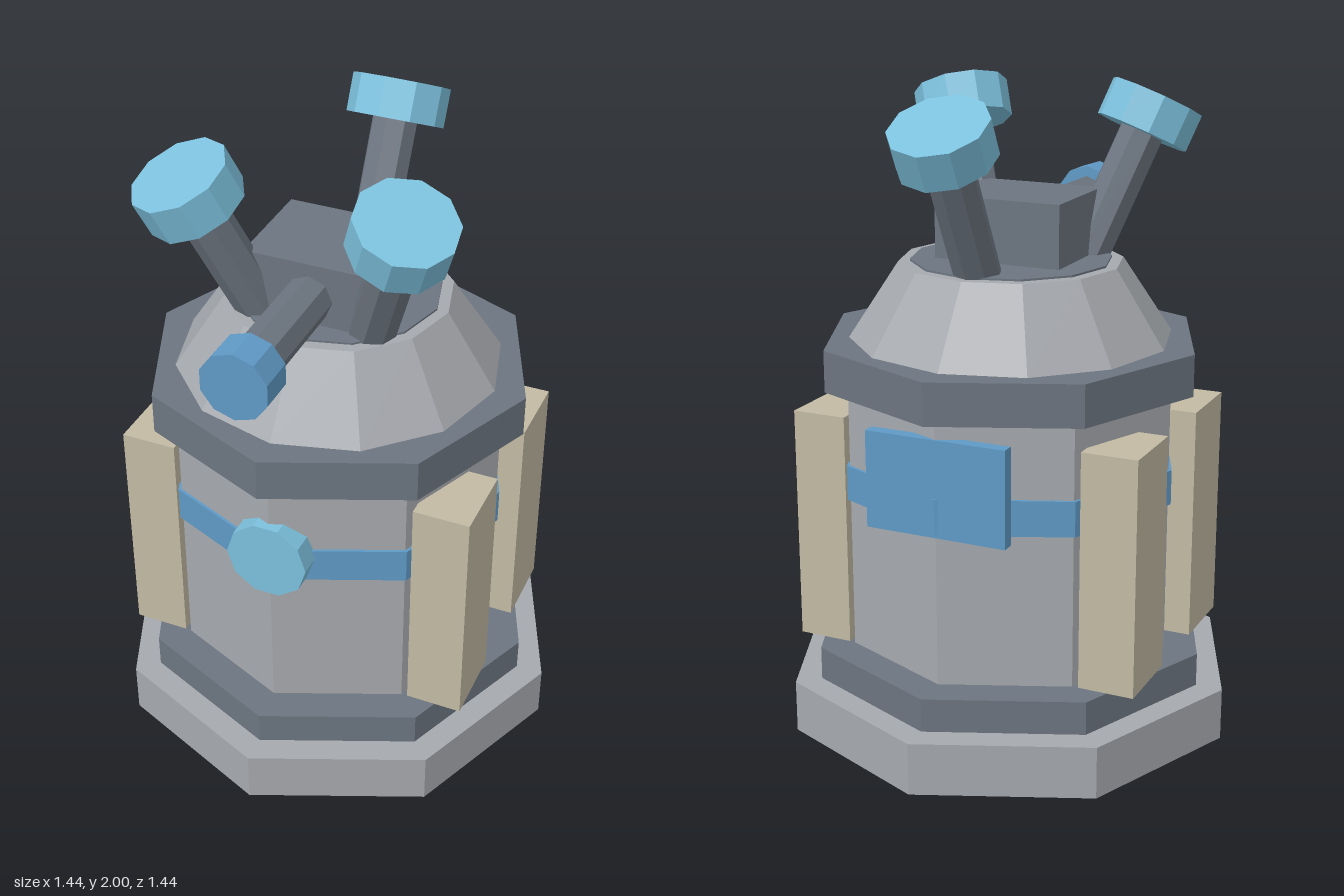
import * as THREE from 'three';

const mat = (name, color) => {
  const m = new THREE.MeshStandardMaterial({ color, flatShading: true });
  m.name = name;
  return m;
};

export function createModel() {
  const stone = mat('light grey', 0xa6a9ae);
  const slate = mat('slate grey', 0x6c7580);
  const beige = mat('beige', 0xc2baa3);
  const cyan = mat('light blue', 0x7cc0dc);
  const blue = mat('mid blue', 0x5f9ac6);

  const model = new THREE.Group();
  model.name = 'turretTower';

  const add = (parent, name, geometry, material, x = 0, y = 0, z = 0) => {
    const mesh = new THREE.Mesh(geometry, material);
    mesh.name = name;
    mesh.position.set(x, y, z);
    parent.add(mesh);
    return mesh;
  };

  // Faceted tier between two heights
  const tier = (name, rBottom, rTop, y0, y1, sides, material) =>
    add(model, name, new THREE.CylinderGeometry(rTop, rBottom, y1 - y0, sides), material, 0, (y0 + y1) / 2);

  // Stacked tower body
  tier('basePlinth', 0.72, 0.72, 0, 0.165, 8, stone);
  tier('lowerStep', 0.635, 0.635, 0.165, 0.27, 8, slate);
  tier('body', 0.525, 0.525, 0.27, 1.1, 8, stone);
  tier('bodyBand', 0.535, 0.535, 0.75, 0.86, 8, blue);
  tier('collar', 0.597, 0.597, 1.1, 1.23, 8, slate);
  tier('roof', 0.5, 0.345, 1.23, 1.465, 12, stone);
  tier('roofCap', 0.31, 0.31, 1.45, 1.471, 12, slate);

  // Four upright side buttresses
  for (const sx of [-1, 1]) {
    for (const sz of [-1, 1]) {
      add(model, 'buttress', new THREE.BoxGeometry(0.175, 0.74, 0.245), beige, sx * 0.4775, 0.64, sz * 0.2475);
    }
  }

  // Round front lamp and rear panel
  const lamp = add(model, 'frontLamp', new THREE.CylinderGeometry(0.128, 0.128, 0.1, 10), cyan, 0, 0.832, 0.5);
  lamp.rotation.set(Math.PI / 2, Math.PI / 10, 0);
  add(model, 'rearPanel', new THREE.BoxGeometry(0.45, 0.3, 0.04), blue, 0, 0.89, -0.51);

  // Gun housing on the roof
  add(model, 'housing', new THREE.BoxGeometry(0.41, 0.205, 0.33), slate, 0, 1.5625, 0.055);

  // Barrel with a wider muzzle; origin at the muzzle's outer end, axis along +y
  const cannon = (name, length, muzzleR, muzzleH, muzzleMat, position, azimuth, tilt) => {
    const g = new THREE.Group();
    g.name = name;
    add(g, 'barrel', new THREE.CylinderGeometry(0.072, 0.072, length, 8), slate, 0, -muzzleH - length / 2 + 0.01);
    add(g, 'muzzle', new THREE.CylinderGeometry(muzzleR, muzzleR, muzzleH, 10), muzzleMat, 0, -muzzleH / 2);
    g.position.set(...position);
    g.rotation.order = 'YXZ';
    g.rotation.set(tilt, azimuth, 0);
    model.add(g);
  };

  cannon('frontCannon', 0.42, 0.105, 0.115, blue, [0, 1.555, 0.71], 0, Math.PI / 2);
  cannon('rearCannon', 0.46, 0.15, 0.118, cyan, [0, 1.931, -0.478], Math.PI, 0.48);
  for (const s of [-1, 1]) {
    cannon(s > 0 ? 'leftCannon' : 'rightCannon', 0.45, 0.15, 0.118, cyan,
      [s * 0.337, 1.935, 0.337], s * Math.PI / 4, 0.45);
  }

  return model;
}
